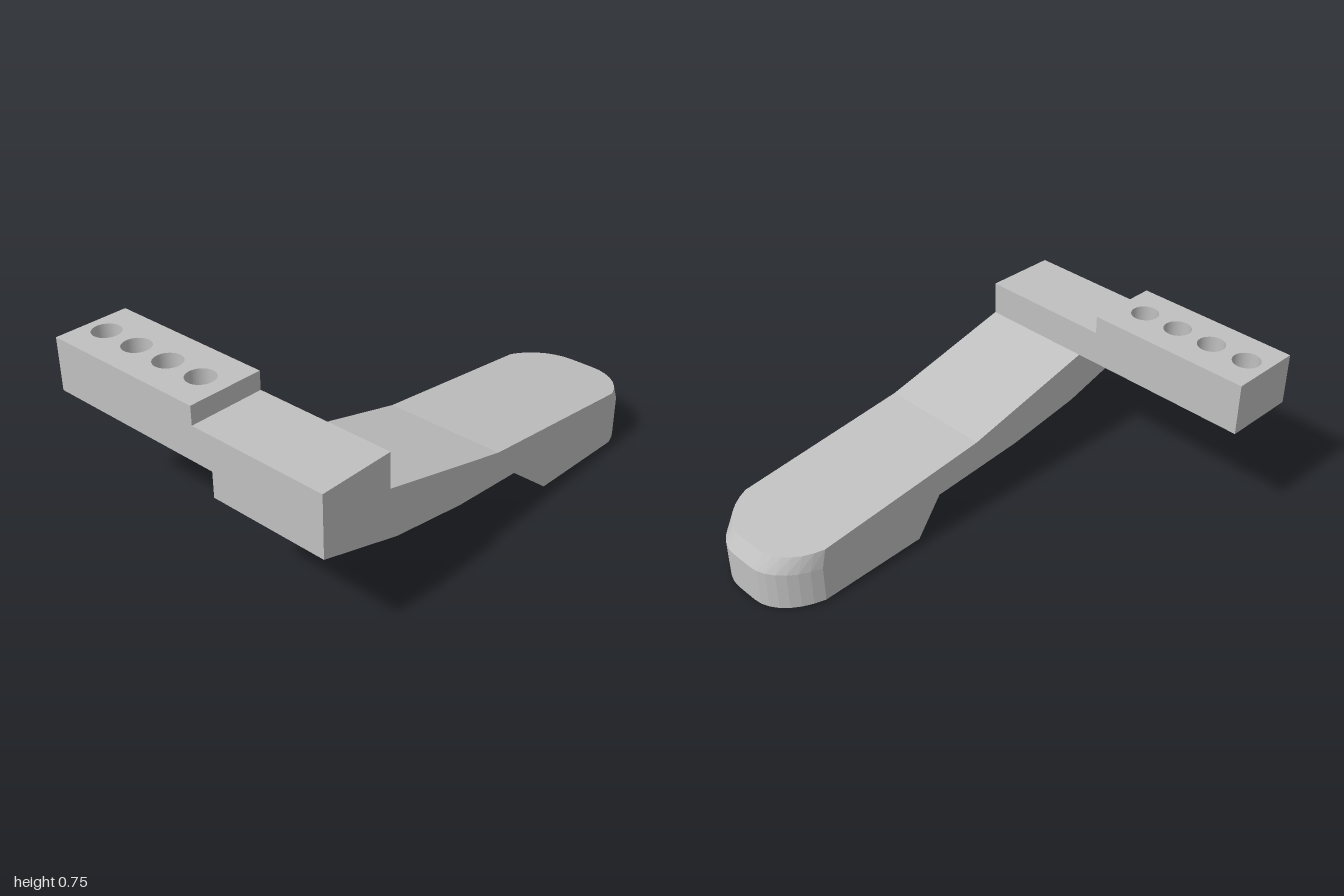
import * as THREE from 'three';

const grey = new THREE.MeshStandardMaterial({ color: 0xc0c0c0, side: THREE.DoubleSide, flatShading: true });
grey.name = 'plain grey';

const X0 = 0.16, X1 = 0.69, MID = 0.425, JOIN = -0.30; // arm sides, centre line, start of head
const HOLE = { z: -0.62, r: 0.14, top: 0.11 };
const topY = z => 0.36 - 0.1206 * (0.04 - z);
const bottomY = z => 0.03 * (z + 1) / 0.7;

function part(name, geometry) {
  const mesh = new THREE.Mesh(geometry, grey);
  mesh.name = name;
  return mesh;
}

const toShape = pts => new THREE.Shape(pts.map(([a, b]) => new THREE.Vector2(a, -b)));

function circle(x, z, r) {
  return new THREE.Path().absarc(x, -z, r, 0, Math.PI * 2, true);
}

// Plan outline of the head as [x, z], open along the join with the arm
function outline(zSide, zEnd) {
  const n = 7, a0 = 0.35, half = [];
  for (let i = 0; i <= n; i++) {
    const t = a0 + (Math.PI / 2 - a0) * i / n;
    half.push([
      0.055 + 0.21 * Math.cos(t) / Math.cos(a0),
      zSide + (zEnd - zSide) * (Math.sin(t) - Math.sin(a0)) / (1 - Math.sin(a0)),
    ]);
  }
  const right = half.map(([d, z]) => [MID + d, z]);
  const left = half.map(([d, z]) => [MID - d, z]).reverse();
  return [[X1, JOIN], ...right, ...left, [X0, JOIN]];
}

// Horizontal face from a plan shape, its height set by a rule
function sheet(shape, height, facingDown) {
  const g = new THREE.ShapeGeometry(shape, 24);
  g.rotateX(-Math.PI / 2);
  const p = g.attributes.position;
  for (let i = 0; i < p.count; i++) p.setY(i, height(p.getZ(i)));
  if (facingDown) g.setIndex([...g.index.array].reverse());
  g.computeVertexNormals();
  return g;
}

// Walls between successive open rings of [x, y, z]
function walls(rings) {
  const v = [];
  for (let k = 0; k + 1 < rings.length; k++) {
    const lo = rings[k], hi = rings[k + 1];
    for (let i = 0; i + 1 < lo.length; i++) {
      v.push(...lo[i], ...lo[i + 1], ...hi[i + 1], ...lo[i], ...hi[i + 1], ...hi[i]);
    }
  }
  const g = new THREE.BufferGeometry();
  g.setAttribute('position', new THREE.Float32BufferAttribute(v, 3));
  g.computeVertexNormals();
  return g;
}

export function createModel() {
  const model = new THREE.Group();
  model.name = 'bracketLever';

  // Bent arm: side profile as [z, y], extruded across the width
  const profile = [
    [1, 0.41], [0.63, 0.30], [0.27, 0.24], [-0.18, 0.20], [JOIN, 0.03],
    [JOIN, topY(JOIN)], [0.04, 0.36], [0.67, 0.52], [0.67, 0.67], [1, 0.67],
  ];
  const arm = new THREE.ExtrudeGeometry(
    new THREE.Shape(profile.map(([z, y]) => new THREE.Vector2(-z, y))),
    { depth: X1 - X0, bevelEnabled: false });
  arm.rotateY(Math.PI / 2).translate(X0, 0, 0);
  model.add(part('arm', arm));

  // Rounded head with a sloping top and chamfered end
  const head = new THREE.Group();
  head.name = 'head';
  const lower = outline(-0.80, -1), upper = outline(-0.78, -0.955);
  head.add(part('headWalls', walls([
    lower.map(([x, z]) => [x, bottomY(z), z]),
    lower.map(([x, z]) => [x, 0.175, z]),
    upper.map(([x, z]) => [x, topY(z), z]),
  ])));
  head.add(part('headTop', sheet(toShape(upper), topY, false)));
  const underside = toShape(lower);
  underside.holes.push(circle(MID, HOLE.z, HOLE.r));
  head.add(part('headUnderside', sheet(underside, bottomY, true)));

  // Blind socket in the underside
  const socket = new THREE.CylinderGeometry(HOLE.r, HOLE.r, 1, 48, 1, true);
  const p = socket.attributes.position;
  for (let i = 0; i < p.count; i++) {
    p.setY(i, p.getY(i) > 0 ? HOLE.top : bottomY(p.getZ(i) + HOLE.z));
  }
  socket.setIndex([...socket.index.array].reverse());
  socket.computeVertexNormals();
  socket.translate(MID, 0, HOLE.z);
  head.add(part('socketWall', socket));
  const ceiling = new THREE.CircleGeometry(HOLE.r, 48);
  ceiling.rotateX(Math.PI / 2).translate(MID, HOLE.top, HOLE.z);
  head.add(part('socketCeiling', ceiling));
  model.add(head);

  // Raised mounting bar with four through holes
  const bar = toShape([[-0.69, 1], [0.07, 1], [0.07, 0.67], [-0.69, 0.67]]);
  for (let i = 0; i < 4; i++) bar.holes.push(circle(-0.59 + i * 0.178, 0.84, 0.06));
  const barGeometry = new THREE.ExtrudeGeometry(bar, { depth: 0.23, bevelEnabled: false, curveSegments: 32 });
  barGeometry.rotateX(-Math.PI / 2).translate(0, 0.52, 0);
  model.add(part('mountingBar', barGeometry));

  // Short lower step joining bar and arm
  const step = new THREE.BoxGeometry(X0 - 0.07, 0.15, 0.33);
  step.translate((X0 + 0.07) / 2, 0.595, 0.835);
  model.add(part('barStep', step));

  return model;
}
